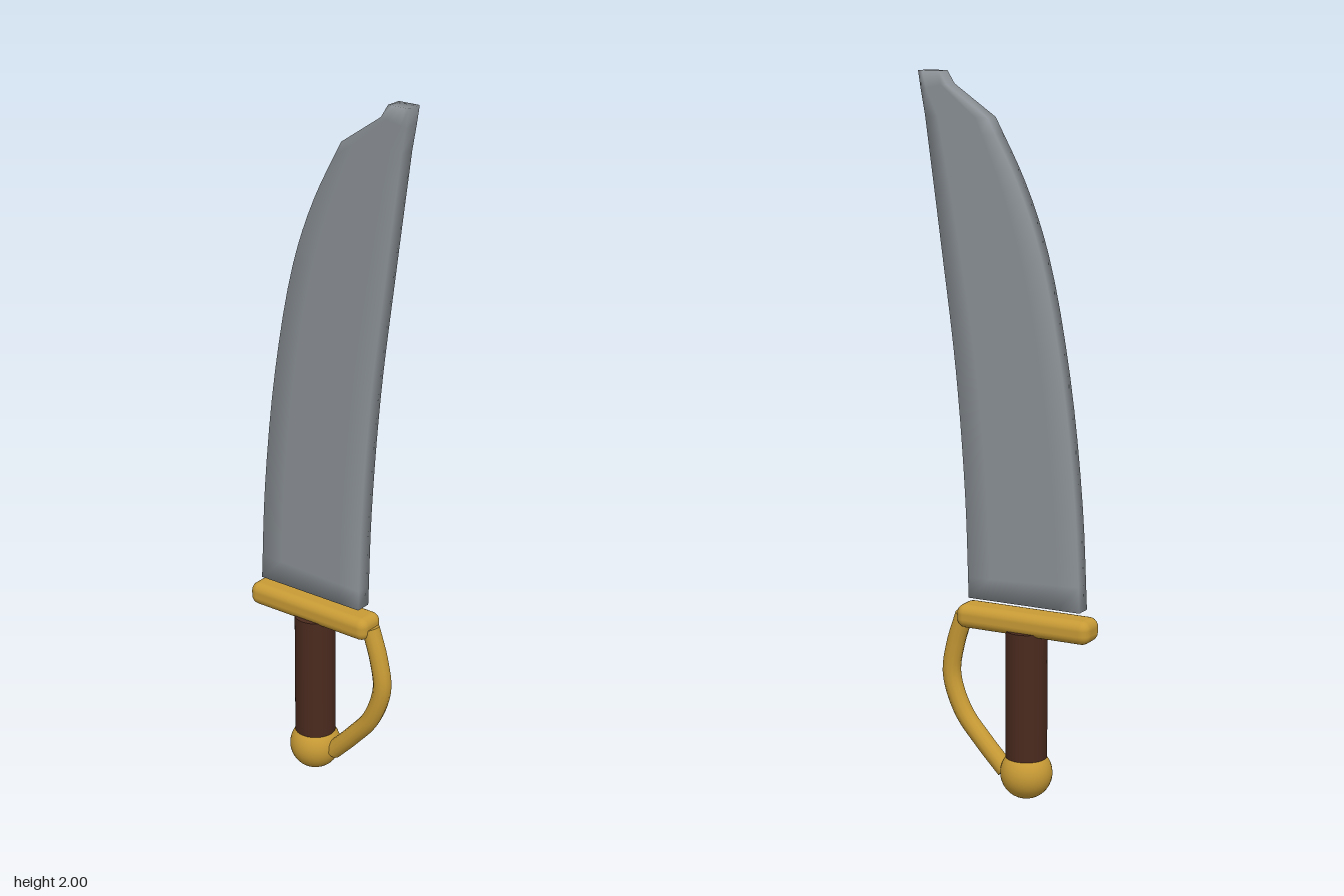
import * as THREE from 'three';
import { RoundedBoxGeometry } from 'three/addons/geometries/RoundedBoxGeometry.js';

const v = (x, y) => new THREE.Vector3(x, y, 0);

// Blade built from rectangular cross-sections, with shared vertices for soft edges
function bladeGeometry() {
  const cutting = new THREE.CatmullRomCurve3([
    v(-0.23, 0.56), v(-0.215, 0.85), v(-0.175, 1.2), v(-0.11, 1.52), v(-0.04, 1.71), v(0.05, 1.88)]);
  const spine = new THREE.CatmullRomCurve3([
    v(0.112, 0.56), v(0.122, 0.85), v(0.15, 1.2), v(0.195, 1.55), v(0.24, 1.88)]);
  const rows = [];
  for (let i = 0; i <= 20; i++) rows.push([cutting.getPoint(i / 20), spine.getPoint(i / 20)]);
  // clipped tip
  rows.push([v(0.175, 1.965), v(0.253, 1.95)], [v(0.197, 2), v(0.261, 2)]);

  const half = 0.023;
  const steps = [0, 0.2, 0.5, 0.8, 1];
  const n = steps.length, ring = n * 2;
  const pos = [], idx = [];
  for (const [a, b] of rows) {
    for (const t of steps) { const p = a.clone().lerp(b, t); pos.push(p.x, p.y, half); }
    for (const t of [...steps].reverse()) { const p = a.clone().lerp(b, t); pos.push(p.x, p.y, -half); }
  }
  for (let r = 0; r < rows.length - 1; r++) {
    for (let j = 0; j < ring; j++) {
      const a = r * ring + j, b = r * ring + (j + 1) % ring;
      idx.push(a, b, b + ring, a, b + ring, a + ring);
    }
  }
  // end faces
  const top = (rows.length - 1) * ring;
  for (let j = 0; j < n - 1; j++) {
    const a = j, b = j + 1, c = ring - 2 - j, d = ring - 1 - j;
    idx.push(a, c, b, a, d, c);
    idx.push(top + a, top + b, top + c, top + a, top + c, top + d);
  }
  const g = new THREE.BufferGeometry();
  g.setAttribute('position', new THREE.Float32BufferAttribute(pos, 3));
  g.setIndex(idx);
  g.computeVertexNormals();
  return g;
}

export function createModel() {
  const group = new THREE.Group();
  const material = (name, color) => {
    const m = new THREE.MeshStandardMaterial({ color });
    m.name = name;
    return m;
  };
  const steel = material('steel', 0x8b9196);
  const brass = material('brass', 0xc79a35);
  const wood = material('dark wood', 0x4a2a1e);
  const add = (name, geometry, mat, x = 0, y = 0) => {
    const mesh = new THREE.Mesh(geometry, mat);
    mesh.name = name;
    mesh.position.set(x, y, 0);
    group.add(mesh);
    return mesh;
  };

  add('blade', bladeGeometry(), steel);
  add('crossguard', new RoundedBoxGeometry(0.41, 0.067, 0.09, 3, 0.026), brass, -0.058, 0.507);
  add('grip', new THREE.CylinderGeometry(0.058, 0.058, 0.365, 32), wood, -0.057, 0.3025);
  add('pommel', new THREE.SphereGeometry(0.073, 32, 20), brass, -0.057, 0.073);

  // Knuckle bow curving from the crossguard to the pommel
  const bow = new THREE.CatmullRomCurve3([
    v(0.138, 0.505), v(0.167, 0.415), v(0.179, 0.325), v(0.143, 0.222), v(0.08, 0.145), v(0.008, 0.07)]);
  add('knuckleBow', new THREE.TubeGeometry(bow, 28, 0.026, 12), brass);
  for (const t of [0, 1]) {
    const cap = add('knuckleBowEnd', new THREE.CircleGeometry(0.026, 12), brass);
    cap.position.copy(bow.getPoint(t));
    cap.lookAt(bow.getPoint(t).add(bow.getTangent(t).multiplyScalar(t ? 1 : -1)));
  }
  return group;
}
